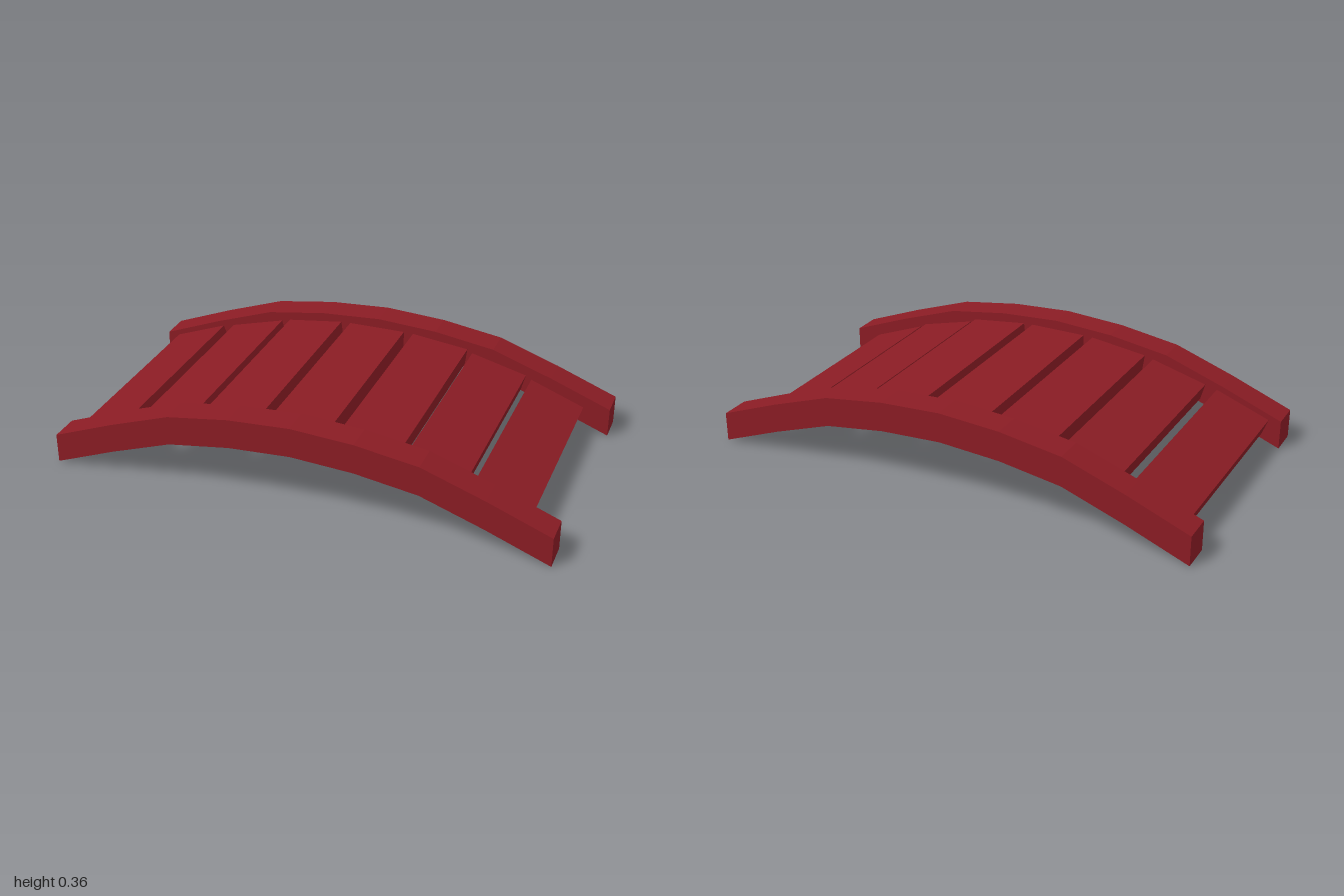
import * as THREE from 'three';

export function createModel() {
  const group = new THREE.Group();
  const material = new THREE.MeshStandardMaterial({ color: 0x8a1c24, flatShading: true });

  // Faceted arch: underside points, raised by the beam depth for the top
  const depth = 0.12, railWidth = 0.12;
  const half = [[0, 0.24], [0.25, 0.225], [0.5, 0.187], [0.75, 0.1], [1, 0.003]];
  const under = [...half.slice(1).reverse().map(([x, y]) => [-x, y]), ...half];
  const outline = [...under, ...[...under].reverse().map(([x, y]) => [x, y + depth])];
  const shape = new THREE.Shape(outline.map(([x, y]) => new THREE.Vector2(x, y)));
  const railGeometry = new THREE.ExtrudeGeometry(shape, { depth: railWidth, bevelEnabled: false });
  for (const [name, z] of [['frontRail', 0.427], ['backRail', -0.427 - railWidth]]) {
    const rail = new THREE.Mesh(railGeometry, material);
    rail.name = name;
    rail.position.z = z;
    group.add(rail);
  }

  // Deck planks: centre x, centre y, tilt in degrees
  const planks = [
    [-0.825, 0.128, 20.5], [-0.55, 0.212, 15], [-0.283, 0.268, 7.5], [-0.008, 0.285, 0],
    [0.267, 0.269, -7], [0.519, 0.211, -14.5], [0.767, 0.124, -21],
  ];
  const plankGeometry = new THREE.BoxGeometry(0.24, 0.07, 0.858);
  planks.forEach(([x, y, tilt], i) => {
    const plank = new THREE.Mesh(plankGeometry, material);
    plank.name = `plank${i + 1}`;
    plank.position.set(x, y, 0);
    plank.rotation.z = THREE.MathUtils.degToRad(tilt);
    group.add(plank);
  });

  return group;
}
